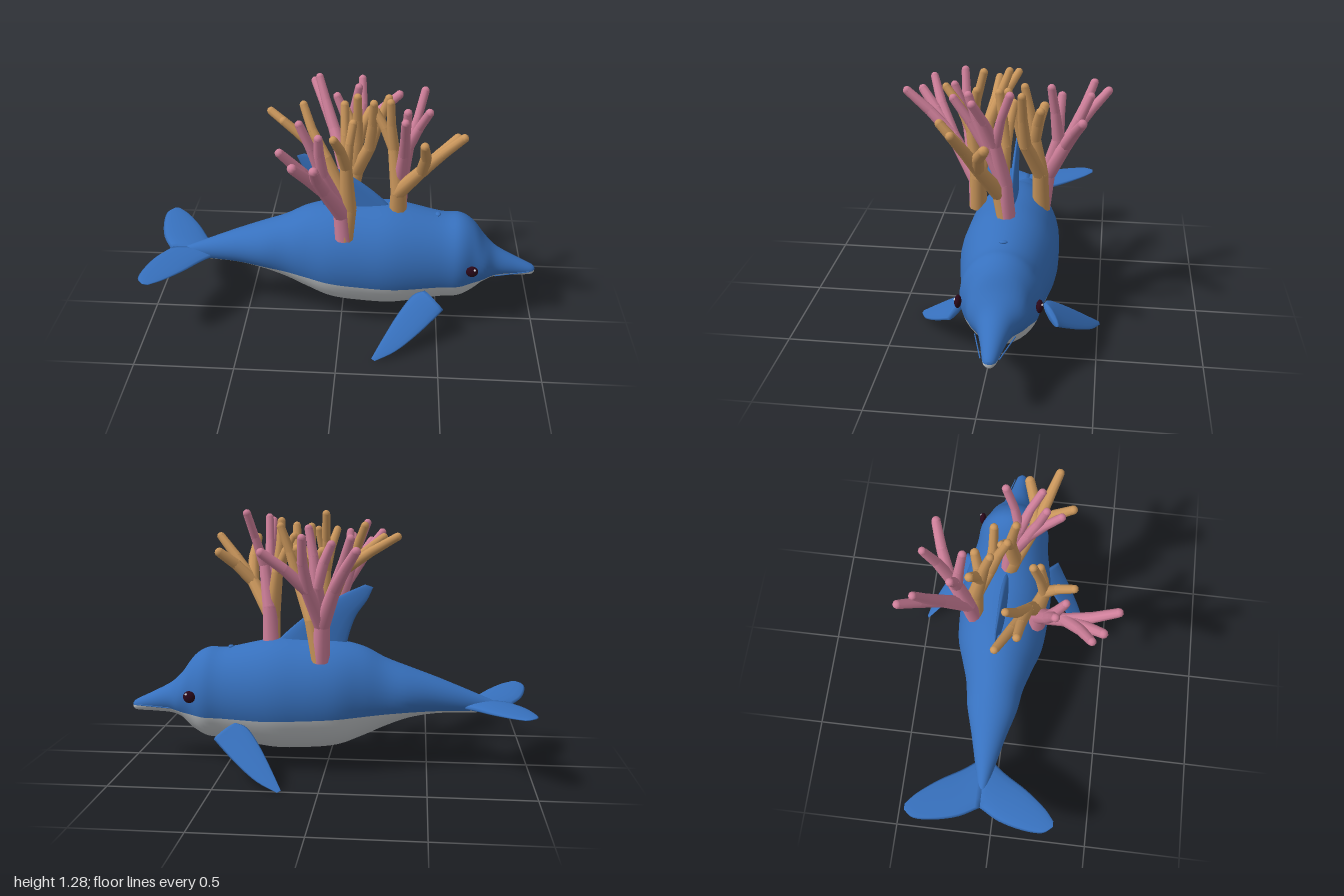
import * as THREE from 'three';
import { mergeGeometries } from 'three/addons/utils/BufferGeometryUtils.js';

const V = (x, y, z) => new THREE.Vector3(x, y, z);
const CZ = -0.057; // the animal's own middle plane
const { clamp, mapLinear } = THREE.MathUtils;
const mat = (name, color) => {
  const m = new THREE.MeshStandardMaterial({ color });
  m.name = name;
  return m;
};

// Skin closed rings of points; ring edges from index `split` on go to a second material group.
function loft(rings, split = Infinity) {
  const n = rings[0].length, last = rings.length - 1;
  const pts = rings.flat();
  const ends = [rings[0], rings[last]].map(r => {
    pts.push(r.reduce((s, p) => s.add(p), V(0, 0, 0)).divideScalar(n));
    return pts.length - 1;
  });
  const parts = [[], []];
  for (let j = 0; j < n; j++) {
    const k = (j + 1) % n, out = parts[j < split ? 0 : 1];
    out.push(ends[0], j, k, ends[1], last * n + k, last * n + j);
    for (let i = 0; i < last; i++) {
      const a = i * n + j, b = i * n + k;
      out.push(a, a + n, b, b, a + n, b + n);
    }
  }
  // turn the faces outward if the rings ran the other way round
  let volume = 0;
  for (const p of parts) for (let i = 0; i < p.length; i += 3)
    volume += pts[p[i]].dot(pts[p[i + 1]].clone().cross(pts[p[i + 2]]));
  if (volume < 0) parts.forEach(p => p.reverse());
  const g = new THREE.BufferGeometry().setFromPoints(pts);
  g.setIndex(parts.flat());
  if (split < n) {
    g.addGroup(0, parts[0].length, 0);
    g.addGroup(parts[0].length, parts[1].length, 1);
  }
  g.computeVertexNormals();
  return g;
}

// Fin blade through chords [leading point, trailing point], thinning from root to tip.
function blade(chords, thickness, normal) {
  const n = normal.clone().normalize();
  const [lead, trail] = [0, 1].map(k => new THREE.CatmullRomCurve3(chords.map(c => c[k]), false, 'catmullrom'));
  return loft(Array.from({ length: 17 }, (_, i) => {
    const u = i / 16, a = lead.getPoint(u), b = trail.getPoint(u);
    return Array.from({ length: 14 }, (_, j) => {
      const q = j / 14 * Math.PI * 2;
      return a.clone().lerp(b, (1 - Math.cos(q)) / 2).addScaledVector(n, thickness * (1 - 0.88 * u) * Math.sin(q));
    });
  }));
}

// Body stations: x, top y, bottom y, half width
const BODY = [
  [-0.86, 0.335, 0.305, 0.012], [-0.72, 0.393, 0.288, 0.045], [-0.55, 0.46, 0.283, 0.088],
  [-0.41, 0.51, 0.258, 0.128], [-0.29, 0.555, 0.212, 0.148], [-0.18, 0.61, 0.16, 0.182],
  [-0.05, 0.638, 0.11, 0.222], [0.12, 0.643, 0.092, 0.235], [0.28, 0.64, 0.092, 0.234],
  [0.5, 0.594, 0.128, 0.195], [0.6, 0.592, 0.137, 0.186], [0.67, 0.55, 0.172, 0.153],
  [0.73, 0.47, 0.23, 0.13], [0.79, 0.412, 0.25, 0.083], [0.88, 0.362, 0.256, 0.053],
  [0.975, 0.316, 0.259, 0.03], [0.997, 0.298, 0.272, 0.012]];
// The belly colour starts lower at the chest than at the tail and beak.
const bellyLine = x => x < 0.3 ? 0.272 + 0.033 * clamp((0.3 - x) / 0.7, 0, 1) : 0.272 + 0.015 * clamp((x - 0.6) / 0.2, 0, 1);

function bodyGeometry() {
  const curve = k => new THREE.CatmullRomCurve3(BODY.map(s => V(s[0], s[k], s[3])), false, 'catmullrom');
  const top = curve(1), bottom = curve(2), up = 22, low = 16, rings = [];
  for (let i = 0; i <= 80; i++) {
    const t = top.getPoint(i / 80), b = bottom.getPoint(i / 80);
    const cy = (t.y + b.y) / 2, ry = (t.y - b.y) / 2;
    const s = Math.asin(clamp((bellyLine(t.x) - cy) / ry, -0.93, 0.6));
    rings.push(Array.from({ length: up + low }, (_, j) => {
      const a = j < up ? s + (Math.PI - 2 * s) * j / up
        : Math.PI - s + (Math.PI + 2 * s) * (j - up) / low;
      return V(t.x, cy + ry * Math.sin(a), CZ + t.z * Math.cos(a));
    }));
  }
  return loft(rings, up);
}

// Coral: a trunk from base to fork, then limbs [knee, ...tips] that split into bent twigs.
function coralGeometry(base, fork, limbs) {
  const pieces = [], up = V(0, 1, 0);
  const radius = y => clamp(mapLinear(y, 0.65, 1.13, 0.044, 0.021), 0.02, 0.045);
  const branch = (a, b) => {
    const d = b.clone().sub(a), len = d.length();
    const g = new THREE.CylinderGeometry(radius(b.y), radius(a.y), len, 9, 1, true).translate(0, len / 2, 0);
    g.applyQuaternion(new THREE.Quaternion().setFromUnitVectors(up, d.normalize()));
    pieces.push(g.translate(a.x, a.y, a.z));
    pieces.push(new THREE.SphereGeometry(radius(b.y), 9, 6).translate(b.x, b.y, b.z));
  };
  branch(base, fork);
  for (const [knee, ...tips] of limbs) {
    const mean = tips.reduce((s, t) => s.add(t), V(0, 0, 0)).divideScalar(tips.length);
    branch(fork, knee);
    for (const tip of tips) {
      const elbow = knee.clone().lerp(tip, 0.5).lerp(mean, 0.1);
      branch(knee, elbow);
      branch(elbow, tip);
    }
  }
  return mergeGeometries(pieces);
}

export function createModel() {
  const group = new THREE.Group();
  group.name = 'dolphinWithCorals';
  const blue = mat('blue skin', 0x3771be), grey = mat('grey belly', 0xc4c8cb), pink = mat('pink coral', 0xd0809b);
  const tan = mat('tan coral', 0xcb975c), dark = mat('dark eye', 0x2a0819), white = mat('eye highlight', 0xe8e8ee);
  const add = (name, geometry, material) => {
    const mesh = new THREE.Mesh(geometry, material);
    mesh.name = name;
    group.add(mesh);
    return mesh;
  };
  const ball = (name, material, position, size) => {
    const b = add(name, new THREE.SphereGeometry(1, 18, 12), material);
    b.position.copy(position);
    b.scale.copy(size);
  };

  add('body', bodyGeometry(), [blue, grey]);
  ball('blowhole', blue, V(0.485, 0.598, CZ), V(0.014, 0.008, 0.02));

  // Swept-back dorsal fin: leading x, y, trailing x, y
  const dorsal = [[0.27, 0.6, -0.09, 0.58], [0.21, 0.67, -0.105, 0.66], [0.09, 0.77, -0.14, 0.76],
    [-0.06, 0.86, -0.195, 0.84], [-0.185, 0.918, -0.225, 0.905]];
  add('dorsalFin', blade(dorsal.map(s => [V(s[0], s[1], CZ), V(s[2], s[3], CZ)]), 0.027, V(0, 0, 1)), blue);

  // Fluke: distance out, leading x, trailing x
  const fluke = [[0, -0.64, -0.91], [0.1, -0.72, -0.965], [0.22, -0.795, -0.996], [0.32, -0.875, -1], [0.371, -0.935, -0.966]];
  // Flipper: leading x, y, trailing x, y; it slopes outward as it drops
  const flipper = [[0.525, 0.19, 0.43, 0.255], [0.48, 0.157, 0.37, 0.237], [0.39, 0.096, 0.3, 0.172],
    [0.29, 0.04, 0.233, 0.092], [0.19, 0.005, 0.172, 0.013]];

  for (const [side, s] of [['right', 1], ['left', -1]]) {
    const slope = (x, y) => V(x, y, CZ + s * (0.46 - 1.07 * y));
    add(side + 'Fluke', blade(fluke.map(([d, a, b]) => [V(a, 0.317 + 0.11 * d, CZ + s * d),
      V(b, 0.332 + 0.08 * d, CZ + s * d)]), 0.026, V(0, 1, 0)), blue);
    add(side + 'Flipper', blade(flipper.map(([ax, ay, bx, by]) => [slope(ax, ay), slope(bx, by)]),
      0.018, V(0, 1.07, s)), blue);
    ball(side + 'Eye', dark, V(0.66, 0.378, CZ + s * 0.184), V(0.03, 0.03, 0.016));
    ball(side + 'EyeHighlight', white, V(0.672, 0.394, CZ + s * 0.196), V(0.006, 0.006, 0.004));
    const lip = new THREE.LineCurve3(V(0.785, 0.294, CZ + s * 0.09), V(0.965, 0.292, CZ + s * 0.04));
    add(side + 'MouthLine', new THREE.TubeGeometry(lip, 4, 0.003, 6), blue);
  }

  // Three pairs of corals, each pair sharing one root
  const near = V(0.02, 0.55, 0.125), front = V(0.28, 0.6, -0.05), far = V(0.02, 0.56, -0.195);
  add('nearPinkCoral', coralGeometry(near, V(0.01, 0.69, 0.13), [
    [V(-0.07, 0.89, 0.26), V(-0.09, 1.11, 0.49), V(-0.25, 1.14, 0.38), V(-0.19, 1.09, 0.43)],
    [V(-0.08, 0.93, 0.18), V(-0.18, 1.2, 0.21), V(-0.09, 1.15, 0.25)]]), pink);
  add('nearTanCoral', coralGeometry(near, V(0.04, 0.72, 0.12), [
    [V(-0.07, 0.97, 0.08), V(-0.34, 1.15, -0.04), V(-0.27, 1.14, 0.05), V(-0.18, 1.2, -0.01)],
    [V(0.03, 0.96, 0.15), V(0.02, 1.25, 0.09), V(-0.02, 1.16, 0.28), V(0.06, 1.17, 0.12)]]), tan);
  add('frontTanCoral', coralGeometry(front, V(0.28, 0.74, -0.02), [
    [V(0.39, 0.91, 0.07), V(0.57, 1.13, 0.16), V(0.55, 1.06, 0.02), V(0.39, 1.12, 0.24)],
    [V(0.25, 0.97, -0.04), V(0.23, 1.22, -0.01), V(0.16, 1.15, -0.07)]]), tan);
  add('frontPinkCoral', coralGeometry(front, V(0.29, 0.8, -0.04), [
    [V(0.32, 1.0, 0), V(0.39, 1.26, -0.075), V(0.41, 1.22, 0.09)],
    [V(0.3, 0.98, 0.04), V(0.3, 1.21, 0.19), V(0.31, 1.23, 0.12)]]), pink);
  add('farTanCoral', coralGeometry(far, V(0.06, 0.76, -0.19), [
    [V(0.07, 0.94, -0.16), V(0.01, 1.09, -0.2), V(0.07, 1.2, -0.11), V(0.13, 1.1, -0.19)],
    [V(0.13, 0.93, -0.12), V(0.15, 1.2, -0.04), V(0.22, 1.2, -0.11)]]), tan);
  add('farPinkCoral', coralGeometry(far, V(0.01, 0.74, -0.22), [
    [V(-0.06, 0.93, -0.33), V(-0.17, 1.12, -0.5), V(-0.14, 1.17, -0.43)],
    [V(0.07, 0.92, -0.31), V(0.08, 1.17, -0.42), V(0.27, 1.1, -0.39)],
    [V(0.03, 0.93, -0.27), V(0.07, 1.2, -0.235), V(-0.04, 1.13, -0.28)]]), pink);
  return group;
}
